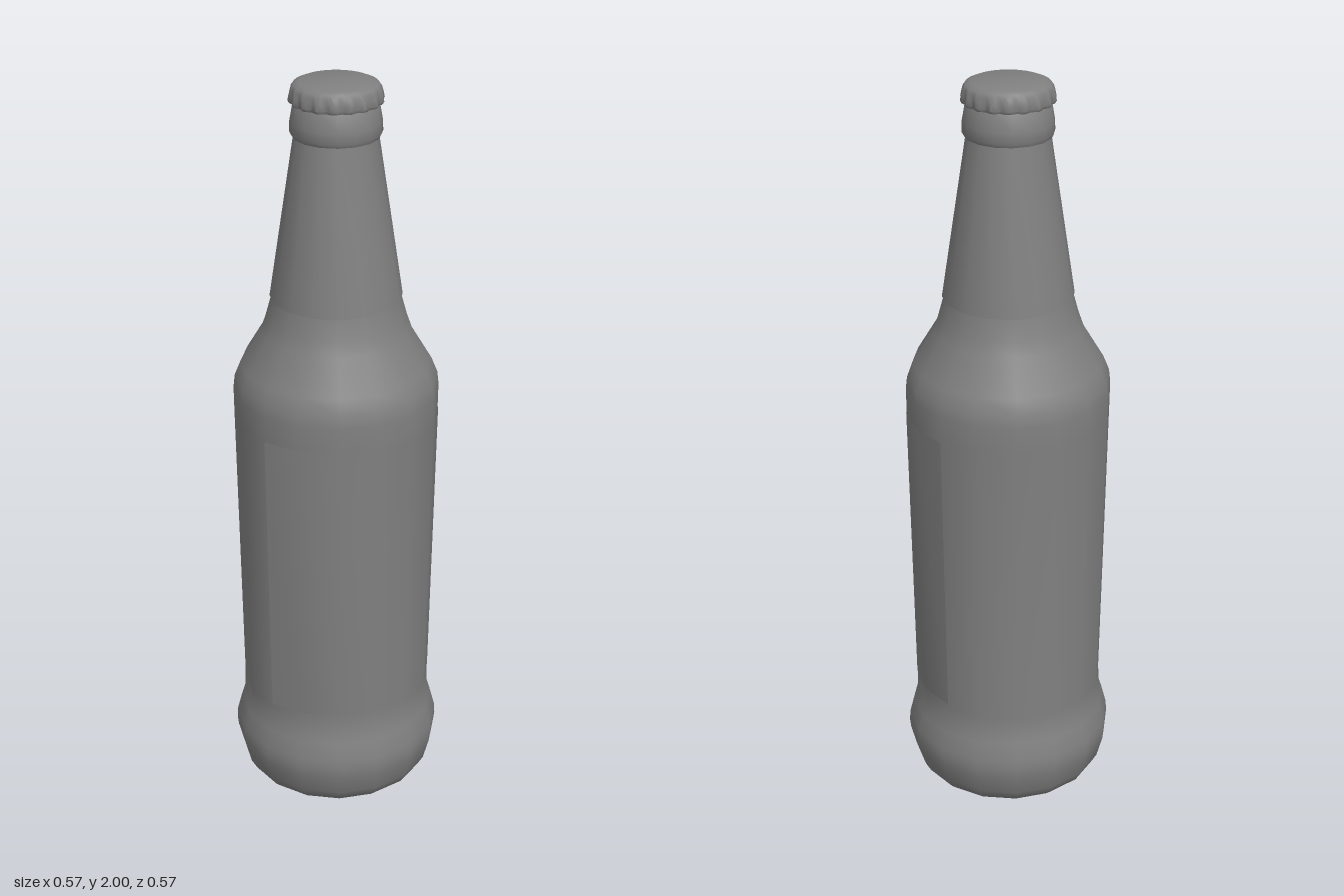
import * as THREE from 'three';
import { toCreasedNormals } from 'three/addons/utils/BufferGeometryUtils.js';

const SIDES = 16;
const FLUTES = 18;

// Turned part from [radius, height] pairs listed bottom to top
function turned(name, profile, material, sides = SIDES, start = 0, sweep = Math.PI * 2, reshape) {
  const points = profile.map(([r, y]) => new THREE.Vector2(r, y));
  let geometry = new THREE.LatheGeometry(points, sides, start, sweep);
  if (reshape) reshape(geometry.attributes.position);
  geometry = toCreasedNormals(geometry, 0.75);
  const mesh = new THREE.Mesh(geometry, material);
  mesh.name = name;
  return mesh;
}

// Press the crimped flutes into the skirt of the cap, deepest at the rim
function crimp(position) {
  for (let i = 0; i < position.count; i++) {
    const x = position.getX(i), y = position.getY(i), z = position.getZ(i);
    const depth = 0.06 * THREE.MathUtils.clamp((1.992 - y) / 0.025, 0, 1);
    const k = 1 + depth * (Math.cos(FLUTES * Math.atan2(z, x)) - 1) / 2;
    position.setXYZ(i, x * k, y, z * k);
  }
}

export function createModel() {
  const group = new THREE.Group();
  group.name = 'bottle';
  const dark = new THREE.MeshStandardMaterial({ color: 0x808080 });
  const darkThin = new THREE.MeshStandardMaterial({ color: 0x808080, side: THREE.DoubleSide });

  // Glass body: closed base, bulging foot, waist, shoulder and tapering neck
  group.add(turned('body', [
    [0, 0], [0.235, 0], [0.248, 0.012], [0.264, 0.04], [0.28, 0.1], [0.283, 0.125],
    [0.281, 0.155], [0.268, 0.205], [0.259, 0.235], [0.257, 0.28], [0.271, 1.1],
    [0.272, 1.17], [0.268, 1.205], [0.252, 1.245], [0.198, 1.335], [0.184, 1.375],
    [0.169, 1.43], [0.105, 1.865],
  ], dark));

  // Wrap around the neck, standing just proud of the glass
  group.add(turned('neckLabel', [
    [0.168, 1.43], [0.173, 1.43], [0.108, 1.863], [0.104, 1.863],
  ], darkThin));

  // Label covering the front half of the body
  group.add(turned('frontLabel', [
    [0.2585, 0.29], [0.2725, 1.1],
  ], darkThin, SIDES / 2, -Math.PI / 2, Math.PI));

  // Collar below the cap
  group.add(turned('collar', [
    [0.1, 1.86], [0.113, 1.862], [0.118, 1.872], [0.117, 1.9], [0.109, 1.945], [0.1, 1.96],
  ], dark));

  // Crimped cap with a flat top
  group.add(turned('cap', [
    [0.1, 1.953], [0.118, 1.948], [0.122, 1.955], [0.119, 1.97], [0.115, 1.984],
    [0.108, 1.994], [0.094, 2], [0, 2],
  ], darkThin, FLUTES * 6, 0, Math.PI * 2, crimp));

  return group;
}
